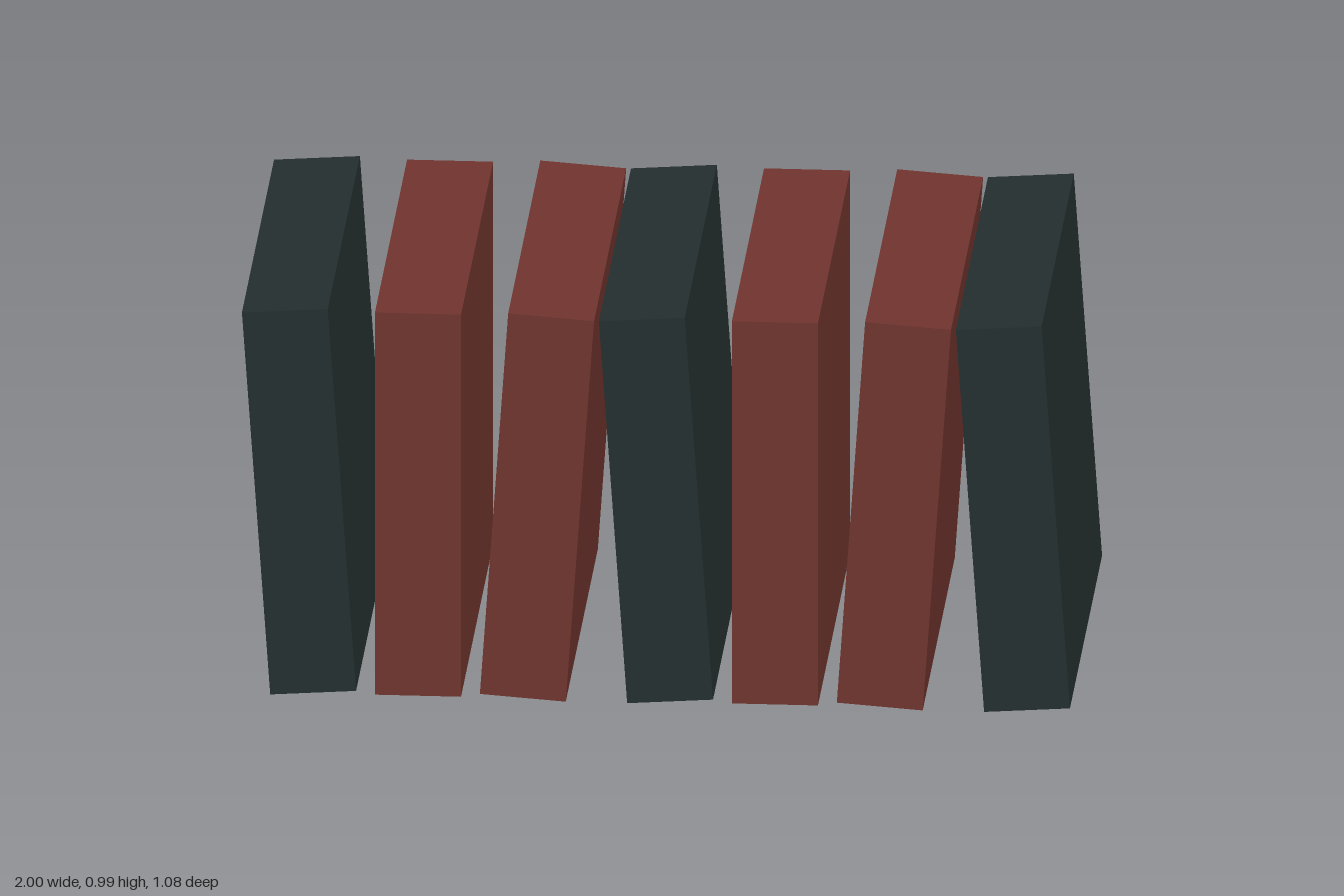
import * as THREE from 'three';

export function createModel() {
  const group = new THREE.Group();
  group.name = 'leaningSlabs';

  const dark = new THREE.MeshStandardMaterial({ color: 0x232e2e });
  dark.name = 'dark slate';
  const red = new THREE.MeshStandardMaterial({ color: 0x70342e });
  red.name = 'brick red';

  const width = 0.208, height = 0.98, depth = 1.082;
  const spacing = 0.2875;
  const tilt = THREE.MathUtils.degToRad(4);
  const geometry = new THREE.BoxGeometry(width, height, depth);

  // Repeating rhythm: leaning left (dark), upright (red), leaning right (red)
  const kinds = [
    { name: 'darkSlabLeaningLeft', material: dark, angle: tilt },
    { name: 'redSlabUpright', material: red, angle: 0 },
    { name: 'redSlabLeaningRight', material: red, angle: -tilt },
  ];
  // Half the height of a tilted slab, so the leaning ones touch the ground
  const centreY = (height * Math.cos(tilt) + width * Math.sin(tilt)) / 2;

  for (let i = 0; i < 7; i++) {
    const kind = kinds[i % 3];
    const slab = new THREE.Mesh(geometry, kind.material);
    slab.name = kind.name + (Math.floor(i / 3) + 1);
    slab.position.set((i - 3) * spacing, centreY, 0);
    slab.rotation.z = kind.angle;
    group.add(slab);
  }
  return group;
}
